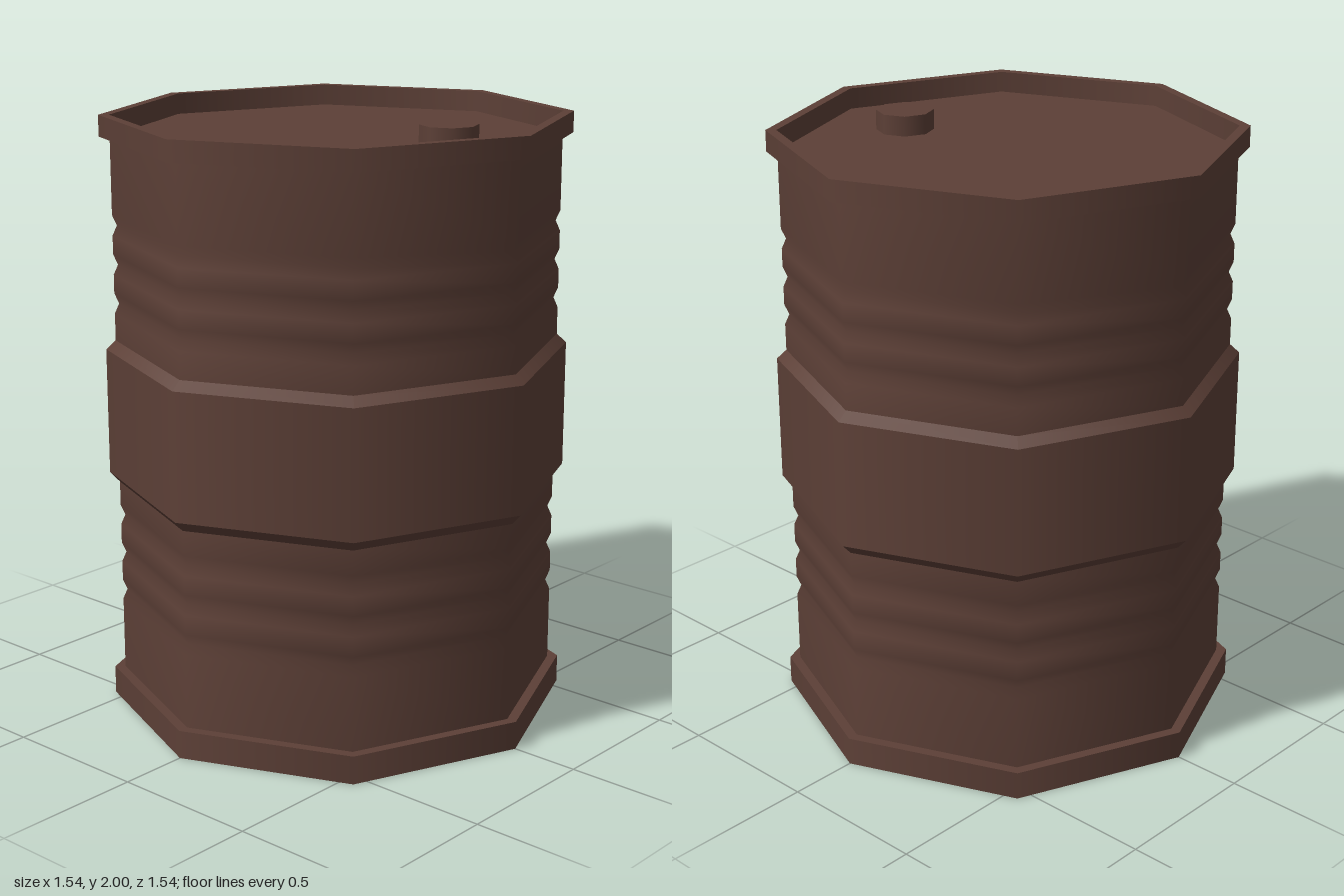
import * as THREE from 'three';

const SIDES = 8;
const BODY = 0.735, RIM = 0.77, BAND = 0.767, GROOVE = 0.72;

export function createModel() {
  const barrel = new THREE.Group();
  barrel.name = 'barrel';
  const paint = new THREE.MeshStandardMaterial({ color: 0x5d4037 });
  paint.name = 'brown paint';

  const add = (parent, name, geometry) => {
    const mesh = new THREE.Mesh(geometry, paint);
    mesh.name = name;
    parent.add(mesh);
    return mesh;
  };
  // Smooth octagonal shell through [radius, y] points, upward order faces out
  const shell = (points) =>
    new THREE.LatheGeometry(points.map(([r, y]) => new THREE.Vector2(r, y)), SIDES);
  // One shell per profile segment, so every edge between them stays sharp
  const hardShell = (name, points) => {
    const group = new THREE.Group();
    group.name = name;
    for (let i = 1; i < points.length; i++) {
      add(group, `${name}Face${i}`, shell([points[i - 1], points[i]]));
    }
    barrel.add(group);
  };
  const disc = (name, y, r, facing) => {
    const mesh = add(barrel, name, new THREE.CircleGeometry(r, SIDES).rotateX(-facing * Math.PI / 2));
    mesh.position.y = y;
  };

  // Grooved walls below and above the middle band
  const wall = (name, bottom, top, grooves) => {
    const points = [[BODY, bottom]];
    for (const y of grooves) points.push([BODY, y - 0.034], [GROOVE, y], [BODY, y + 0.034]);
    points.push([BODY, top]);
    add(barrel, name, shell(points));
  };
  wall('lowerWall', 0.095, 0.765, [0.38, 0.515, 0.648]);
  wall('upperWall', 1.255, 1.93, [1.38, 1.51, 1.64]);

  // Raised middle band with bevelled edges
  hardShell('middleBand', [[BODY, 0.765], [BAND, 0.8], [BAND, 1.225], [BODY, 1.255]]);

  // Bottom rim and base
  hardShell('bottomRim', [[RIM, 0], [RIM, 0.095], [BODY, 0.095]]);
  disc('base', 0, RIM, -1);

  // Top rim around the sunken lid
  hardShell('topRim', [[BODY, 1.93], [RIM, 1.93], [RIM, 2], [BODY, 2], [BODY, 1.93]]);
  disc('lid', 1.93, BODY, 1);

  // Filler cap near the front of the lid
  const cap = add(barrel, 'fillerCap', new THREE.CylinderGeometry(0.095, 0.095, 0.068, SIDES));
  cap.position.set(0.055, 1.962, 0.415);

  return barrel;
}
